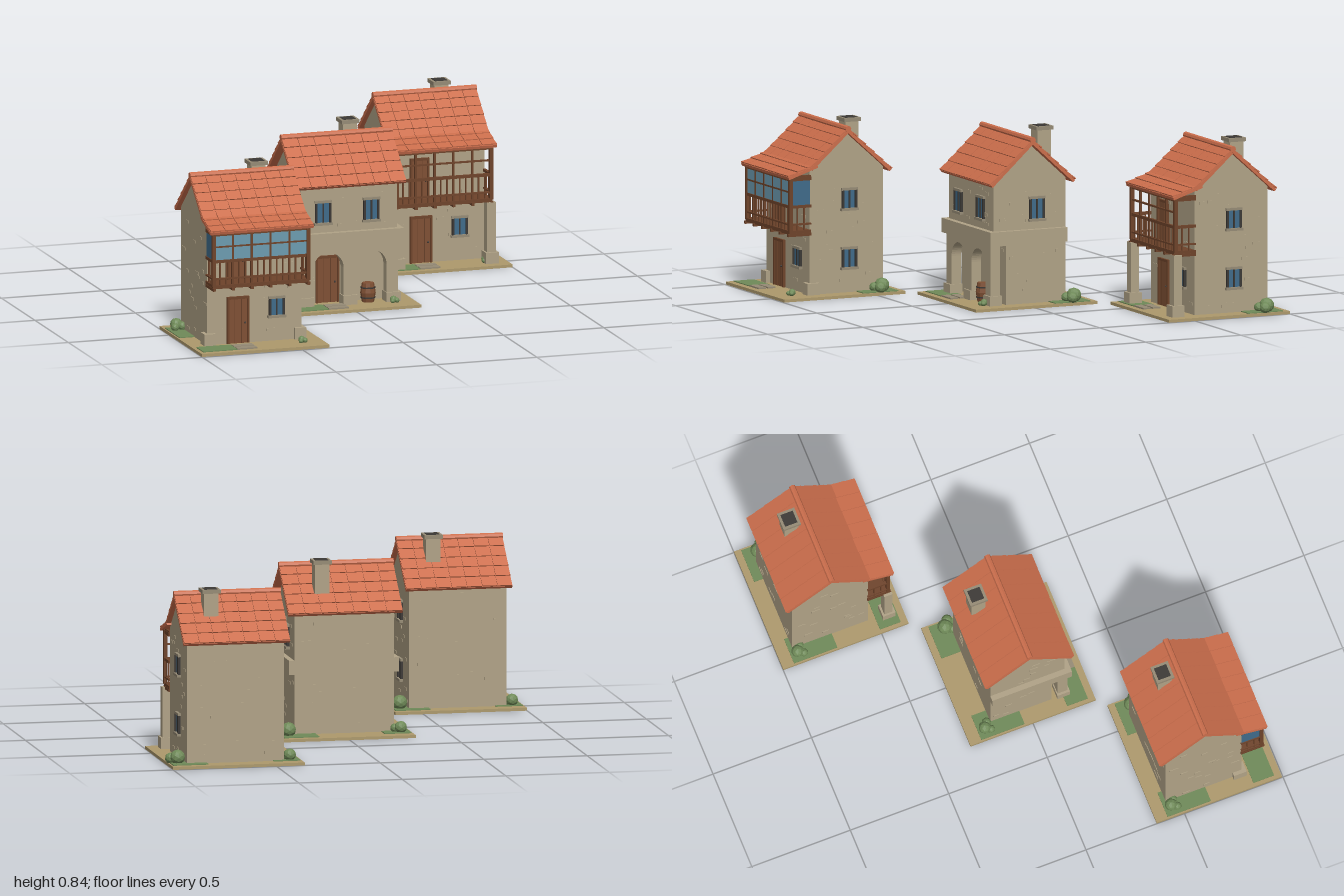
import * as THREE from 'three';
import { mergeGeometries } from 'three/addons/utils/BufferGeometryUtils.js';

const mat = (name, color) => Object.assign(new THREE.MeshStandardMaterial({ color }), { name, flatShading: true });
const M = {
  stone: mat('stone', 0xb0a286), trim: mat('trim stone', 0x968b75), roof: mat('roof tile', 0xcc6e4c),
  wood: mat('timber', 0x6e432a), door: mat('door wood', 0x7f5034), glass: mat('window glass', 0x3f6b8a),
  pale: mat('balcony glass', 0x6c9bb0), sand: mat('ground', 0xad996c), leaf: mat('greenery', 0x6f8a58),
  dark: mat('soot', 0x3b3835),
};

let seed = 7;
const rnd = () => (seed = (seed * 16807) % 2147483647) / 2147483647;

function add(parent, name, geo, material, x = 0, y = 0, z = 0) {
  const m = new THREE.Mesh(geo, material);
  m.name = name;
  m.position.set(x, y, z);
  parent.add(m);
  return m;
}
// box given by its extents
const box = (p, name, material, x0, x1, y0, y1, z0, z1) => add(p, name,
  new THREE.BoxGeometry(x1 - x0, y1 - y0, z1 - z0), material, (x0 + x1) / 2, (y0 + y1) / 2, (z0 + z1) / 2);

function group(parent, name, x = 0, y = 0, z = 0) {
  const g = new THREE.Group();
  g.name = name;
  g.position.set(x, y, z);
  parent.add(g);
  return g;
}

// gabled wall block: profile in z and y, extruded along x
function gableBody(p, hw, zb, zf, y0, eave, peak) {
  const s = new THREE.Shape([[zb, y0], [zf, y0], [zf, eave], [(zb + zf) / 2, peak], [zb, eave]]
    .map(([a, b]) => new THREE.Vector2(a, b)));
  const geo = new THREE.ExtrudeGeometry(s, { depth: 2 * hw, bevelEnabled: false });
  geo.rotateY(-Math.PI / 2).translate(hw, 0, 0);
  add(p, 'walls', geo, M.stone);
}

// tiled slope between two edges, z0 < z1
function slope(p, z0, y0, z1, y1, width, rows) {
  const L = Math.hypot(z1 - z0, y1 - y0), down = y1 < y0 ? 1 : -1, cols = 7;
  const g = group(p, 'roofSlope', 0, (y0 + y1) / 2, (z0 + z1) / 2);
  g.rotation.x = Math.atan2(y0 - y1, z1 - z0);
  box(g, 'roofDeck', M.roof, -width / 2, width / 2, -0.014, 0, -L / 2, L / 2);
  const tiles = [], tw = width / cols, tl = L / rows;
  for (let r = 0; r < rows; r++) for (let c = 0; c < cols; c++) {
    tiles.push(new THREE.BoxGeometry(tw - 0.003, 0.006, tl).rotateX(-0.09 * down)
      .translate((c + 0.5) * tw - width / 2, 0.002 + rnd() * 0.002, (r + 0.5) * tl - L / 2));
  }
  add(g, 'roofTiles', mergeGeometries(tiles), M.roof);
}

function ridge(p, z, y, width) {
  add(p, 'ridge', new THREE.CylinderGeometry(0.015, 0.015, width, 8).rotateZ(Math.PI / 2), M.roof, 0, y, z);
}

function chimney(p, x, z, top) {
  const g = group(p, 'chimney', x, 0, z);
  box(g, 'stack', M.stone, -0.035, 0.035, 0.68, top - 0.015, -0.035, 0.035);
  box(g, 'cap', M.trim, -0.044, 0.044, top - 0.018, top, -0.044, 0.044);
  box(g, 'flue', M.dark, -0.031, 0.031, top, top + 0.002, -0.031, 0.031);
}

// window facing +z before turning
function win(p, x, y, z, turn = 0, h = 0.095) {
  const g = group(p, 'window', x, y, z), w = 0.034;
  g.rotation.y = turn;
  box(g, 'pane', M.glass, -w, w, -h / 2, h / 2, 0, 0.005);
  for (const s of [-1, 1]) box(g, 'jamb', M.dark, s * w - 0.005, s * w + 0.005, -h / 2, h / 2, 0, 0.012);
  box(g, 'mullion', M.dark, -0.004, 0.004, -h / 2, h / 2, 0, 0.009);
  box(g, 'lintel', M.trim, -0.042, 0.042, h / 2, h / 2 + 0.012, 0, 0.013);
  box(g, 'sill', M.trim, -0.045, 0.045, -h / 2 - 0.012, -h / 2, 0, 0.018);
}

function door(p, x, y, z, w, h) {
  const g = group(p, 'door', x, y, z);
  box(g, 'leaf', M.door, -w / 2, w / 2, 0, h, 0, 0.008);
  for (const s of [-1, 1]) {
    box(g, 'doorPost', M.wood, s * w / 2 - 0.005, s * w / 2 + 0.005, 0, h, 0, 0.013);
    box(g, 'plankGap', M.wood, s * w / 6 - 0.001, s * w / 6 + 0.001, 0, h, 0.007, 0.009);
  }
  box(g, 'doorHead', M.wood, -w / 2 - 0.005, w / 2 + 0.005, h - 0.006, h + 0.006, 0, 0.013);
  add(g, 'handle', new THREE.SphereGeometry(0.005, 6, 4), M.dark, w * 0.34, h * 0.45, 0.012);
}

// small slabs scattered over the walls
function stones(p, hw, zb, zf, y0, y1, n) {
  const list = [];
  for (let i = 0; i < n; i++) {
    const y = y0 + rnd() * (y1 - y0), w = 0.025 + rnd() * 0.02, t = rnd(), side = i % 4;
    const geo = new THREE.BoxGeometry(w, 0.014, 0.005);
    const x = (2 * t - 1) * (hw - 0.03), z = zb + 0.03 + t * (zf - zb - 0.06);
    if (side === 0) geo.translate(x, y, zf);
    else if (side === 1) geo.translate(x, y, zb);
    else geo.rotateY(Math.PI / 2).translate(side === 2 ? hw : -hw, y, z);
    list.push(geo);
  }
  add(p, 'wallStones', mergeGeometries(list), M.stone);
}

function bush(p, x, z, r) {
  const g = group(p, 'bush', x, 0.015, z);
  for (const [dx, dz, k] of [[0, 0, 1], [0.8, 0.6, 0.75], [-0.5, 0.9, 0.65]])
    add(g, 'bushClump', new THREE.IcosahedronGeometry(r * k, 1), M.leaf, dx * r, r * k * 0.8, dz * r);
}

function plot(p) {
  box(p, 'ground', M.sand, -0.318, 0.318, 0, 0.014, -0.318, 0.318);
  for (const [x0, x1, z0, z1] of [[-0.31, -0.18, -0.26, -0.04], [0.14, 0.31, -0.285, -0.1], [-0.3, -0.13, 0.18, 0.285]])
    box(p, 'grass', M.leaf, x0, x1, 0.013, 0.018, z0, z1);
  for (const z of [0.215, 0.265]) box(p, 'steppingStone', M.trim, -0.13, -0.03, 0.013, 0.021, z - 0.02, z + 0.02);
  bush(p, 0.275, -0.215, 0.036);
  bush(p, -0.265, -0.225, 0.03);
  bush(p, 0.21, 0.225, 0.017);
}

// timber balcony, optionally glazed
function balcony(p, glazed) {
  const g = group(p, 'balcony'), X = 0.235, Z = 0.245;
  box(g, 'balconyFloor', M.wood, -X - 0.005, X + 0.005, 0.308, 0.326, 0.14, Z + 0.008);
  for (const [y, t] of [[0.355, 0.004], [0.44, 0.007], [0.572, 0.009]]) {
    box(g, 'frontRail', M.wood, -X, X, y - t, y + t, Z - 0.007, Z + 0.007);
    for (const s of [-1, 1]) box(g, 'sideRail', M.wood, s * X - 0.007, s * X + 0.007, y - t, y + t, 0.14, Z);
  }
  box(g, 'transom', M.wood, -X, X, 0.506, 0.514, Z - 0.005, Z + 0.005);
  for (let i = 0; i <= 5; i++) {
    const x = -X + i * X * 0.4, t = i % 5 ? 0.005 : 0.009;
    box(g, 'post', M.wood, x - t, x + t, 0.32, 0.58, Z - t, Z + t);
    box(g, 'joist', M.wood, x - 0.007, x + 0.007, 0.298, 0.312, 0.14, Z + 0.015);
    box(g, 'rafter', M.wood, x - 0.005, x + 0.005, 0.576, 0.588, 0.14, Z + 0.01);
  }
  for (let i = 1; i < 15; i++) {
    const x = -X + i * X / 7.5;
    box(g, 'baluster', M.wood, x - 0.003, x + 0.003, 0.32, 0.44, Z - 0.003, Z + 0.003);
  }
  for (const s of [-1, 1]) for (const z of [0.175, 0.21])
    box(g, 'sideBaluster', M.wood, s * X - 0.003, s * X + 0.003, 0.32, 0.44, z - 0.003, z + 0.003);
  if (!glazed) return;
  box(g, 'frontGlass', M.pale, -X, X, 0.445, 0.565, Z - 0.003, Z + 0.003);
  for (const s of [-1, 1]) box(g, 'sideGlass', M.glass, s * X - 0.003, s * X + 0.003, 0.445, 0.565, 0.145, Z - 0.004);
}

function balconyHouse(p, name, x, z, glazed) {
  const g = group(p, name, x, 0, z), hw = 0.235, zb = -0.24, zf = 0.145, mid = -0.0475;
  plot(g);
  gableBody(g, hw, zb, zf, 0.01, 0.605, 0.775);
  stones(g, hw, zb, zf, 0.04, 0.58, 64);
  slope(g, -0.275, 0.592, mid, 0.795, 0.514, 5);
  slope(g, mid, 0.795, 0.15, 0.62, 0.514, 5);
  slope(g, 0.115, 0.636, 0.267, 0.586, 0.514, 3);
  ridge(g, mid, 0.797, 0.516);
  chimney(g, 0.1, -0.125, 0.83);
  door(g, -0.083, 0.015, zf, 0.1, 0.22);
  door(g, -0.09, 0.326, zf, 0.085, 0.19);
  win(g, 0.11, 0.178, zf, 0, 0.08);
  for (const y of [0.178, 0.46]) win(g, hw, y, -0.06, Math.PI / 2, 0.085);
  balcony(g, glazed);
  for (const s of [-1, 1]) {
    if (glazed) {
      box(g, 'cornerStone', M.stone, s * 0.225 - 0.028, s * 0.225 + 0.028, 0.012, 0.07, 0.1, 0.165);
    } else {
      box(g, 'stonePillar', M.stone, s * 0.232 - 0.023, s * 0.232 + 0.023, 0.012, 0.308, 0.22, 0.262);
      box(g, 'pillarBase', M.stone, s * 0.232 - 0.032, s * 0.232 + 0.032, 0.012, 0.068, 0.21, 0.274);
    }
  }
}

function arcadeHouse(p) {
  const g = group(p, 'arcadeHouse'), hw = 0.24;
  plot(g);
  box(g, 'groundFloor', M.stone, -hw, hw, 0.01, 0.31, -0.187, 0.125);
  gableBody(g, hw, -0.187, 0.19, 0.3, 0.605, 0.775);
  stones(g, hw, -0.187, 0.19, 0.39, 0.58, 40);
  stones(g, hw, -0.187, 0.125, 0.04, 0.28, 24);
  box(g, 'storeyBand', M.stone, -0.266, 0.266, 0.3, 0.368, -0.187, 0.218);
  // front arcade with two arches
  const s = new THREE.Shape();
  s.moveTo(-hw, 0.01);
  for (const c of [-0.107, 0.107]) {
    s.lineTo(c - 0.076, 0.01);
    s.lineTo(c - 0.076, 0.195);
    s.absarc(c, 0.195, 0.076, Math.PI, 0, true);
    s.lineTo(c + 0.076, 0.01);
  }
  s.lineTo(hw, 0.01);
  s.lineTo(hw, 0.302);
  s.lineTo(-hw, 0.302);
  add(g, 'arcade', new THREE.ExtrudeGeometry(s, { depth: 0.05, bevelEnabled: false, curveSegments: 12 }), M.stone, 0, 0, 0.155);
  for (const x of [-0.215, 0, 0.215])
    box(g, 'pillarBase', M.stone, x - 0.036, x + 0.036, 0.012, 0.06, 0.15, 0.214);
  door(g, -0.088, 0.015, 0.125, 0.105, 0.22);
  win(g, -0.13, 0.465, 0.19);
  win(g, 0.11, 0.465, 0.19);
  win(g, hw, 0.465, -0.035, Math.PI / 2);
  slope(g, -0.222, 0.594, 0, 0.795, 0.552, 5);
  slope(g, 0, 0.795, 0.22, 0.594, 0.552, 5);
  ridge(g, 0, 0.798, 0.554);
  chimney(g, 0.1, -0.127, 0.838);
  // barrel under the right arch
  const profile = [[0, 0], [0.029, 0], [0.037, 0.045], [0.029, 0.092], [0, 0.092]].map(([a, b]) => new THREE.Vector2(a, b));
  const b = group(g, 'barrel', 0.1, 0.015, 0.175);
  add(b, 'barrelBody', new THREE.LatheGeometry(profile, 10), M.door);
  for (const y of [0.022, 0.07]) add(b, 'hoop', new THREE.CylinderGeometry(0.036, 0.036, 0.006, 10), M.dark, 0, y, 0);
}

export function createModel() {
  const root = new THREE.Group();
  root.name = 'villageHouses';
  balconyHouse(root, 'glazedBalconyHouse', -0.682, 0.677, true);
  arcadeHouse(root);
  balconyHouse(root, 'openBalconyHouse', 0.682, -0.682, false);
  return root;
}
